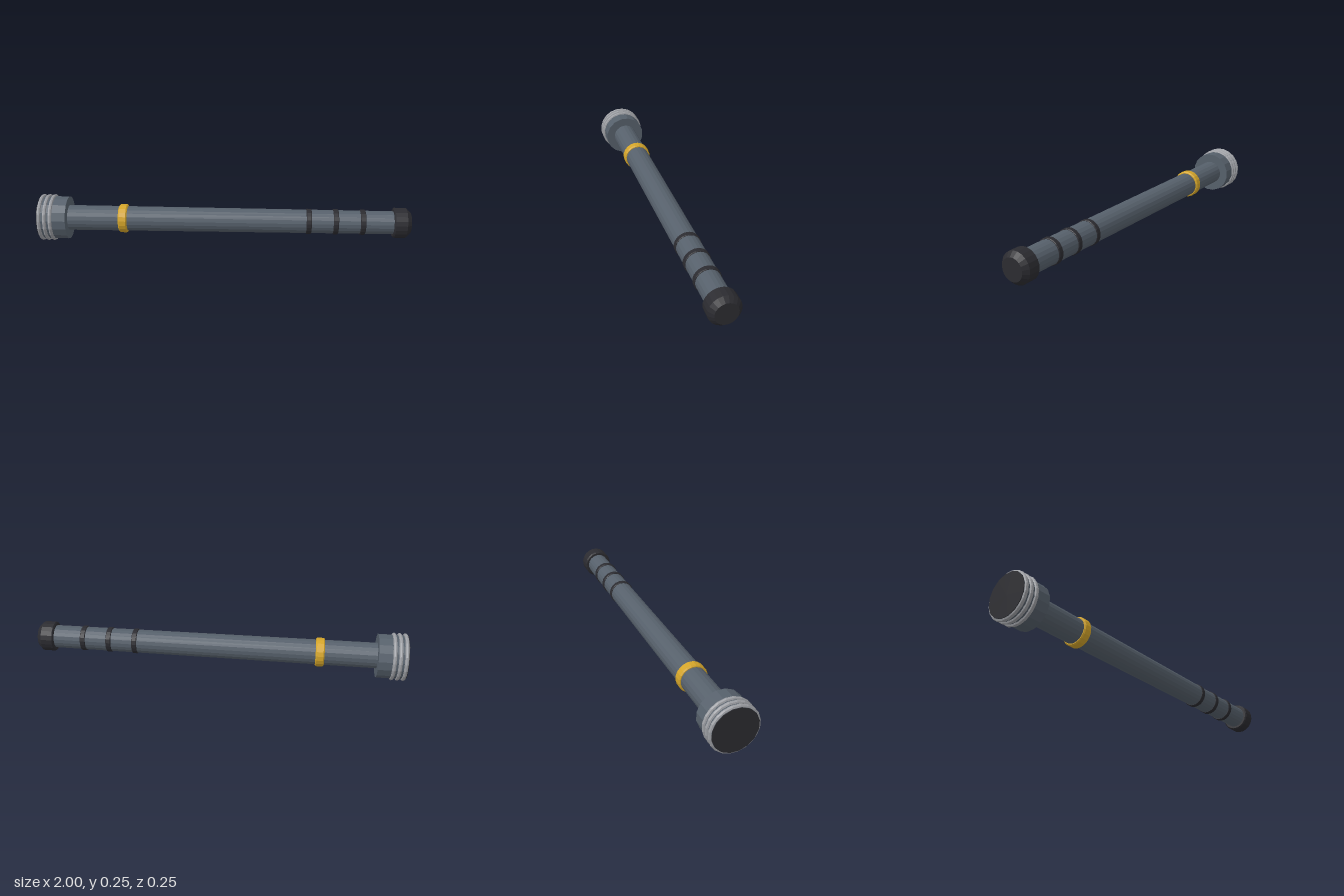
import * as THREE from 'three';

const AXIS_Y = 0.125;
const paint = (name, color) => {
  const m = new THREE.MeshStandardMaterial({ color });
  m.name = name;
  return m;
};

// Faceted solid of revolution along x; profile is [x, radius] pairs from -x to +x.
function turned(name, profile, sides, material) {
  const points = profile.map(([x, r]) => new THREE.Vector2(r, x));
  const geo = new THREE.LatheGeometry(points, sides, Math.PI / sides).toNonIndexed();
  geo.rotateZ(-Math.PI / 2);
  geo.computeVertexNormals();
  const mesh = new THREE.Mesh(geo, material);
  mesh.name = name;
  return mesh;
}

// Closed cylinder with optional chamfers at its two ends.
function drum(name, x0, x1, r, sides, material, c0 = 0, c1 = 0) {
  const profile = [[x0, 0], [x0, r - c0]];
  if (c0) profile.push([x0 + c0, r]);
  if (c1) profile.push([x1 - c1, r]);
  profile.push([x1, r - c1], [x1, 0]);
  return turned(name, profile, sides, material);
}

export function createModel() {
  const slate = paint('slate metal', 0x56606b);
  const black = paint('black rubber', 0x2b2b30);
  const gold = paint('gold', 0xd4a52a);
  const silver = paint('silver', 0x9c9ea3);

  const body = new THREE.Group();

  // Slightly tapered shaft
  body.add(turned('shaft', [[-0.86, 0.068], [0.92, 0.062]], 20, slate));

  // Wide head with a dark striking face
  body.add(drum('head', -0.997, -0.845, 0.1165, 16, slate));
  body.add(drum('headFace', -1, -0.9965, 0.116, 16, black));

  // Rounded silver rings around the head
  for (const x of [-0.987, -0.957, -0.927]) {
    const geo = new THREE.TorusGeometry(0.1166, 0.01, 8, 20).toNonIndexed();
    geo.rotateZ(Math.PI / 20);
    geo.rotateY(Math.PI / 2);
    geo.computeVertexNormals();
    const ring = new THREE.Mesh(geo, silver);
    ring.name = 'headRing';
    ring.position.x = x;
    body.add(ring);
  }

  // Gold collar
  body.add(drum('collar', -0.57, -0.523, 0.077, 20, gold, 0.006, 0.006));

  // Grip bands
  for (const x of [0.457, 0.601, 0.745]) {
    body.add(drum('gripBand', x - 0.014, x + 0.014, 0.068, 20, black, 0.003, 0.003));
  }

  // Chamfered end cap
  body.add(turned('endCap',
    [[0.908, 0], [0.908, 0.074], [0.914, 0.081], [0.975, 0.081], [1, 0.058], [1, 0]], 20, black));

  body.position.y = AXIS_Y;
  body.name = 'baton';
  const model = new THREE.Group();
  model.add(body);
  return model;
}
